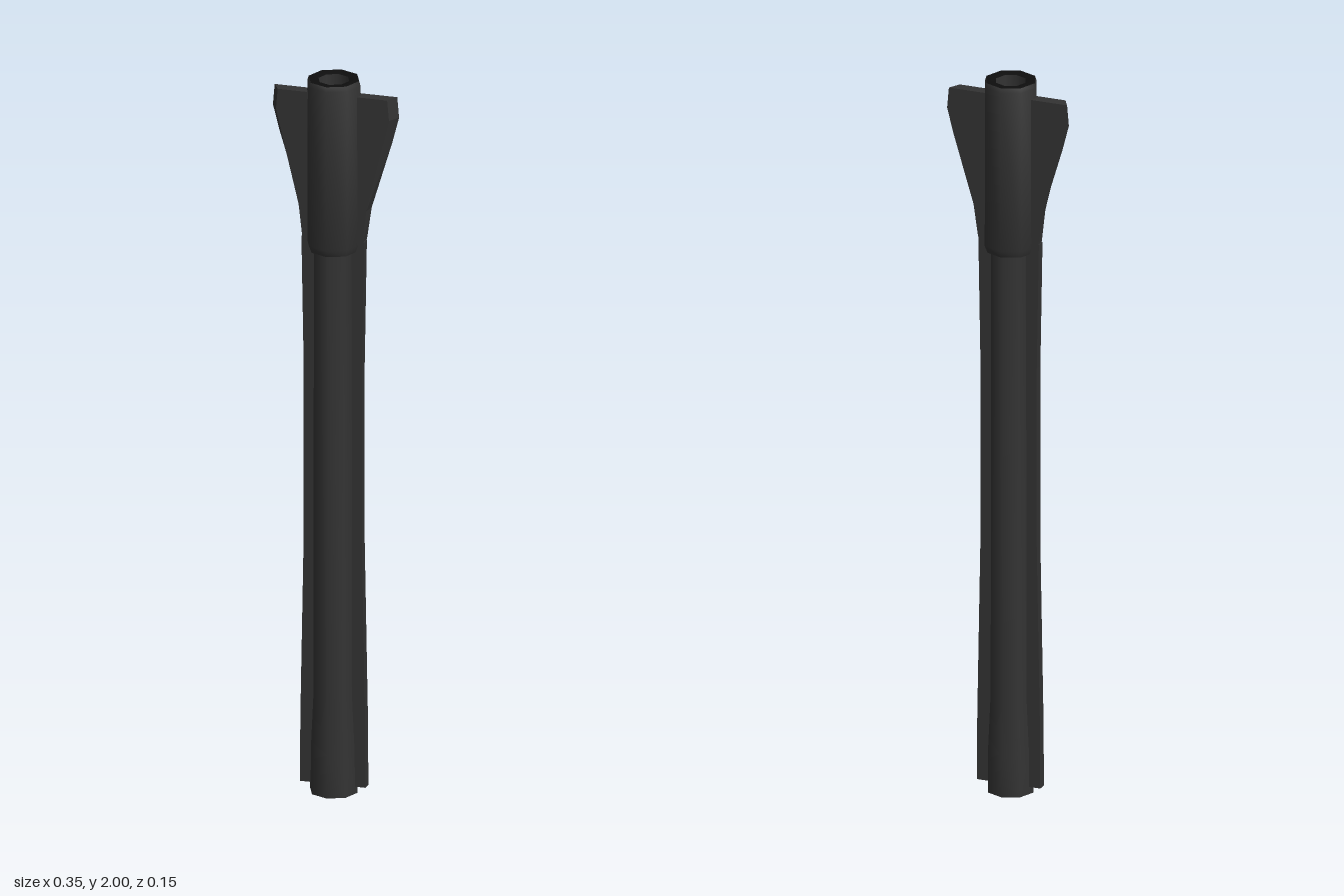
import * as THREE from 'three';
import { toCreasedNormals } from 'three/addons/utils/BufferGeometryUtils.js';

const metal = new THREE.MeshStandardMaterial({ color: 0x333333 });
metal.name = 'dark metal';
const soot = new THREE.MeshStandardMaterial({ color: 0x0e0e0e });
soot.name = 'black rim';

// Eight-sided turned part, smooth around and sharp at the ends
function turned(name, profile, material) {
  const points = profile.map(([r, y]) => new THREE.Vector2(r, y));
  const geometry = toCreasedNormals(new THREE.LatheGeometry(points, 8), 0.9);
  const mesh = new THREE.Mesh(geometry, material);
  mesh.name = name;
  return mesh;
}

// Flat plate cut from an outline in x and y; the outer edge leans in towards the front
function plate(name, outline, side, zBack, depth, lean) {
  const shape = new THREE.Shape(outline.map(([x, y]) => new THREE.Vector2(x * side, y)));
  const geometry = new THREE.ExtrudeGeometry(shape, { depth, bevelEnabled: false });
  const p = geometry.attributes.position;
  for (let i = 0; i < p.count; i++) {
    const x = Math.abs(p.getX(i));
    if (x > 0.075) p.setX(i, side * (x - lean * Math.min(1, (x - 0.075) / 0.08) * p.getZ(i) / depth));
  }
  geometry.translate(0, 0, zBack);
  geometry.computeVertexNormals();
  const mesh = new THREE.Mesh(geometry, metal);
  mesh.name = name;
  return mesh;
}

export function createModel() {
  const group = new THREE.Group();
  group.name = 'finned tube';

  // Long hollow tube, slightly flared at the foot
  group.add(turned('tube', [
    [0.042, 1.54], [0.042, 0.3], [0.05, 0], [0.065, 0], [0.064, 0.12],
    [0.057, 0.27], [0.056, 1.54],
  ], metal));

  // Thicker collar with a chamfered lower edge, and its bore
  group.add(turned('collar', [
    [0.042, 1.52], [0.066, 1.52], [0.074, 1.54], [0.073, 1.985], [0.069, 1.998],
  ], metal));
  group.add(turned('bore', [[0.042, 1.995], [0.042, 1.52]], metal));
  group.add(turned('rim', [[0.069, 1.998], [0.06, 2], [0.042, 1.995]], soot));

  const rail = [[0.04, 0.02], [0.09, 0.02], [0.089, 0.2], [0.08, 0.7], [0.08, 1.2], [0.086, 1.55], [0.04, 1.55]];
  const fin = [
    [0.05, 1.53], [0.085, 1.55], [0.098, 1.64], [0.155, 1.83],
    [0.173, 1.9], [0.168, 1.957], [0.05, 1.957],
  ];
  for (const [label, side] of [['left', 1], ['right', -1]]) {
    group.add(plate(label + 'Rail', rail, side, -0.015, 0.025, 0));
    group.add(plate(label + 'Fin', fin, side, -0.019, 0.032, 0.018));
  }
  return group;
}
